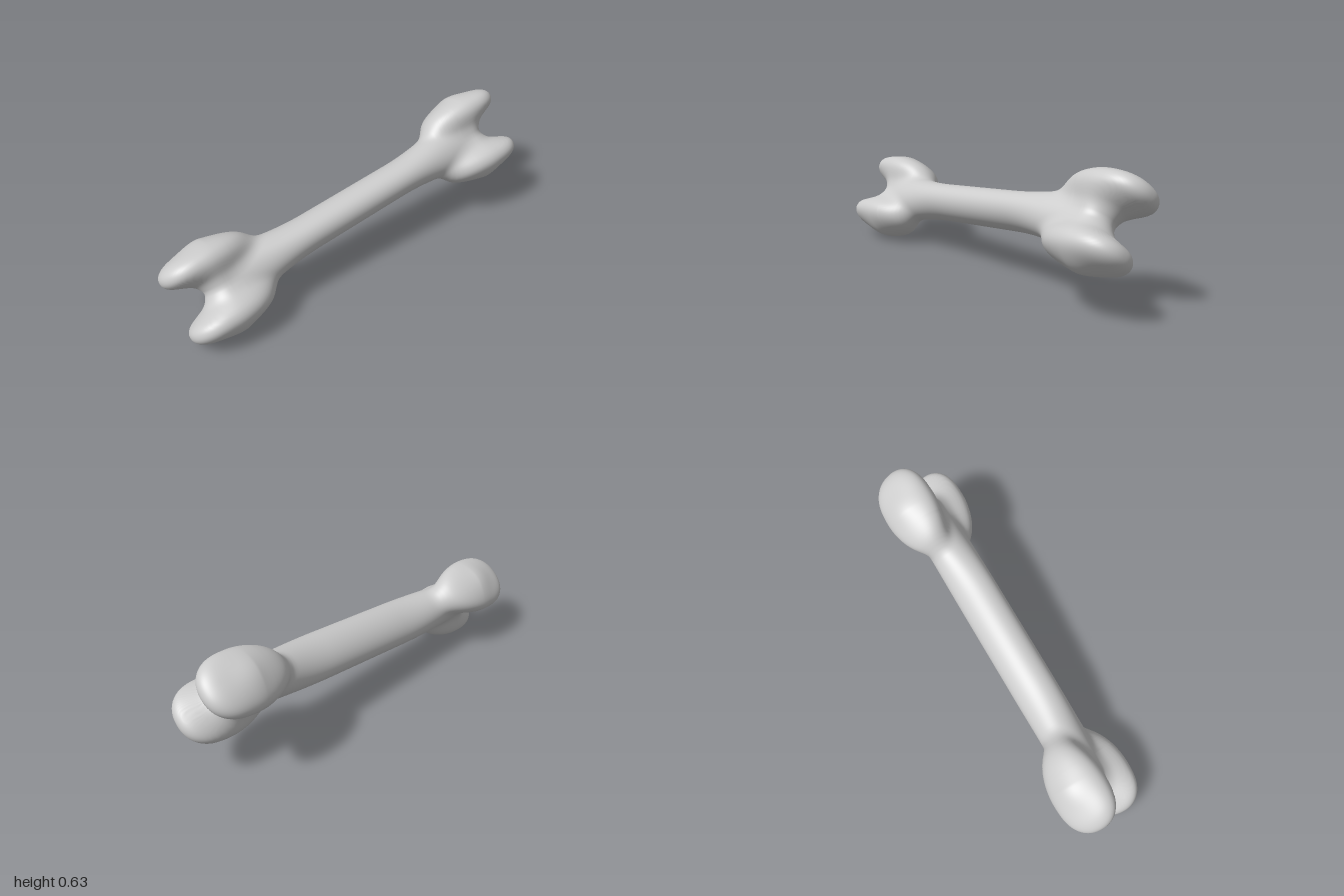
import * as THREE from 'three';
import { mergeVertices } from 'three/addons/utils/BufferGeometryUtils.js';

const SPINE = 0.68;     // half length of the straight core the skin is cast from
const SIDES = 128;

// Smooth blend of two distances
function blend(a, b, k) {
  const h = Math.max(k - Math.abs(a - b), 0) / k;
  return Math.min(a, b) - h * h * k / 4;
}

// Oval shaft, flaring into a thinner web between the knuckles
function shaft(u, v, w) {
  const t = THREE.MathUtils.clamp((u - 0.25) / 0.5, 0, 1) ** 2;
  return Math.hypot(Math.max(u - 0.74, 0), v / (1 + 0.9 * t), w * (0.77 + 0.22 * t)) - 0.088;
}

// Slightly boxy egg-shaped knuckle, drawn out towards the shaft
function knuckle(u, v, w) {
  const p = 2.2;
  const x = u - 0.825, y = v - 0.138;
  const length = x < 0 ? 0.24 : 0.16;
  const n = Math.pow(Math.abs(x / length) ** p + Math.abs(y / 0.073) ** p + Math.abs(w / 0.144) ** p, 1 / p) + 1e-6;
  return Math.hypot(x, y, w) * (1 - 1 / n);
}

// Whole bone: symmetrical in every direction, two knuckles per end
function bone(u, v, w) {
  u = Math.abs(u);
  const knuckles = blend(knuckle(u, v, w), knuckle(u, -v, w), 0.03);
  return blend(knuckles, shaft(u, v, w), 0.12);
}

// Outermost skin point on a ray from the core
function skin(origin, dir) {
  const at = t => bone(origin + dir[0] * t, dir[1] * t, dir[2] * t);
  let t = 0.5;
  while (t > 0.01 && at(t) > 0) t -= 0.004;
  let lo = t, hi = t + 0.004;
  for (let i = 0; i < 12; i++) {
    const mid = (lo + hi) / 2;
    if (at(mid) > 0) hi = mid; else lo = mid;
  }
  return [origin + dir[0] * lo, dir[1] * lo, dir[2] * lo];
}

function boneGeometry() {
  // Rings: fan round one end, run along the shaft, fan round the other end
  const rings = [];
  const CAP = 72, RUN = 72;
  for (let i = 0; i <= CAP; i++) rings.push([-SPINE, -Math.PI / 2 * (1 - i / CAP)]);
  for (let i = 1; i < RUN; i++) rings.push([-SPINE + 2 * SPINE * i / RUN, 0]);
  for (let i = 0; i <= CAP; i++) rings.push([SPINE, Math.PI / 2 * i / CAP]);

  const positions = [], index = [];
  rings.forEach(([origin, tilt], i) => {
    for (let j = 0; j < SIDES; j++) {
      const a = j / SIDES * Math.PI * 2;
      const c = Math.cos(tilt);
      positions.push(...skin(origin, [Math.sin(tilt), c * Math.cos(a), c * Math.sin(a)]));
      if (i === rings.length - 1) continue;
      const p = i * SIDES + j, q = i * SIDES + (j + 1) % SIDES;
      index.push(p, q, p + SIDES, q, q + SIDES, p + SIDES);
    }
  });
  let geometry = new THREE.BufferGeometry();
  geometry.setAttribute('position', new THREE.Float32BufferAttribute(positions, 3));
  geometry.setIndex(index);
  geometry = mergeVertices(geometry, 1e-5);

  // Tilt and roll into the resting pose, standing on the ground
  const u = new THREE.Vector3(0.992, 0.118, -0.018).normalize();
  const v = new THREE.Vector3(0, 0.785, -0.62);
  v.addScaledVector(u, -v.dot(u)).normalize();
  const w = new THREE.Vector3().crossVectors(u, v);
  geometry.applyMatrix4(new THREE.Matrix4().makeBasis(u, v, w));
  geometry.computeBoundingBox();
  geometry.translate(0, -geometry.boundingBox.min.y, 0);
  geometry.computeVertexNormals();
  return geometry;
}

export function createModel() {
  const group = new THREE.Group();
  group.name = 'boneModel';
  const paleGrey = new THREE.MeshStandardMaterial({ color: 0xcccccc });
  paleGrey.name = 'paleGrey';
  const mesh = new THREE.Mesh(boneGeometry(), paleGrey);
  mesh.name = 'bone';
  group.add(mesh);
  return group;
}
